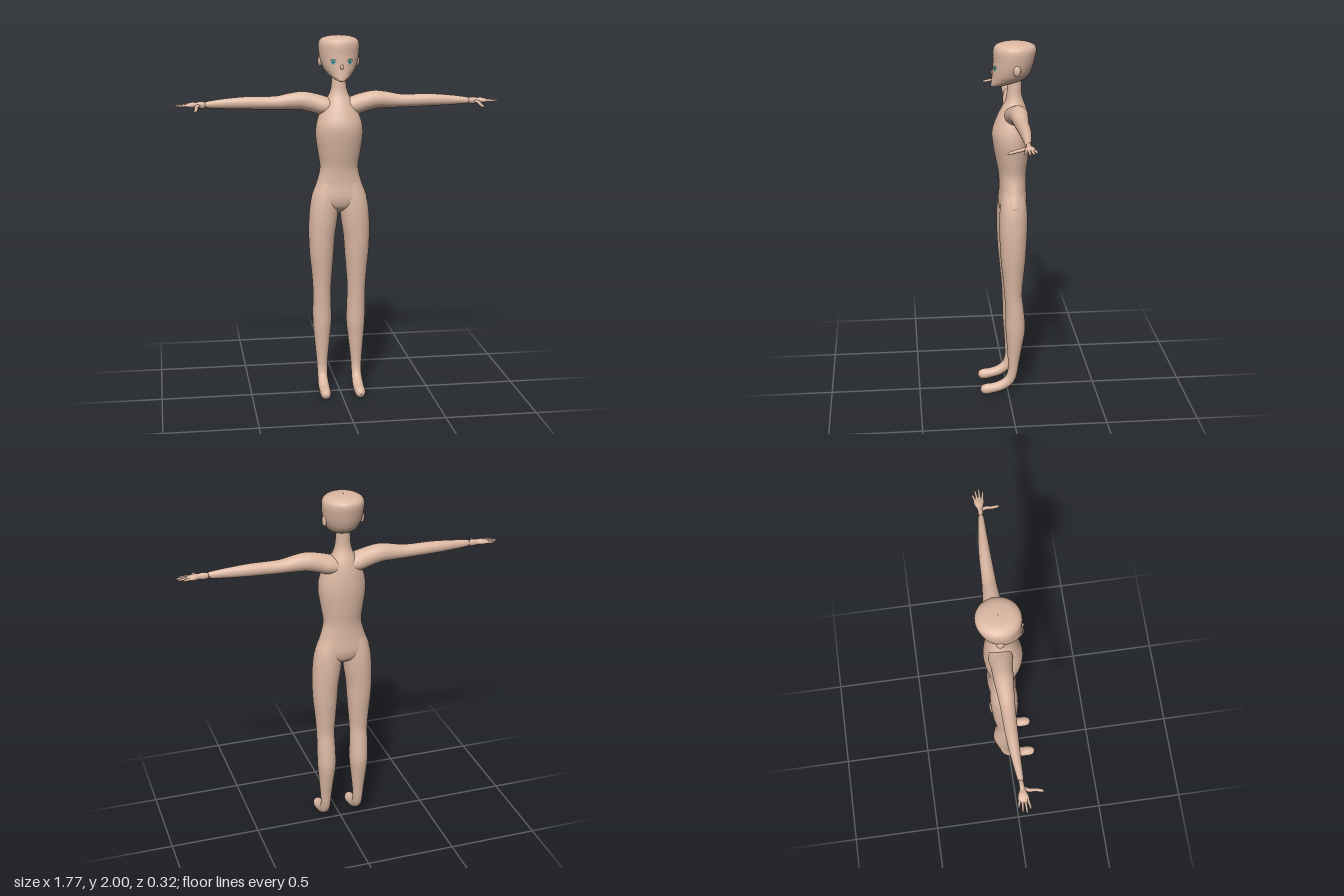
import * as THREE from 'three';

const X = new THREE.Vector3(1, 0, 0);
const Y = new THREE.Vector3(0, 1, 0);
const Z = new THREE.Vector3(0, 0, 1);

const skin = new THREE.MeshStandardMaterial({ color: 0xdcb8a3 });
skin.name = 'skin';
const iris = new THREE.MeshStandardMaterial({ color: 0x46a0a4 });
iris.name = 'iris teal';
const lash = new THREE.MeshStandardMaterial({ color: 0x38484a });
lash.name = 'lash dark';

// Smooth skin through elliptical rings: rows of [cx, cy, cz, radius along side, radius across]
function loft(rows, side, fixedAxis = null, sides = 28, perRow = 5) {
  const path = new THREE.CatmullRomCurve3(rows.map(r => new THREE.Vector3(r[0], r[1], r[2])), false, 'catmullrom', 0.5);
  const size = new THREE.CatmullRomCurve3(rows.map(r => new THREE.Vector3(r[3], r[4], 0)), false, 'catmullrom', 0.5);
  const steps = (rows.length - 1) * perRow;
  const pos = [], index = [];
  for (let i = 0; i <= steps; i++) {
    const t = i / steps;
    const c = path.getPoint(t), s = size.getPoint(t);
    const axis = fixedAxis || path.getTangent(t);
    const depth = new THREE.Vector3().crossVectors(axis, side).normalize();
    const u = new THREE.Vector3().crossVectors(depth, axis).normalize();
    for (let j = 0; j < sides; j++) {
      const a = (j / sides) * Math.PI * 2;
      const p = c.clone()
        .addScaledVector(u, Math.max(s.x, 0.0005) * Math.cos(a))
        .addScaledVector(depth, Math.max(s.y, 0.0005) * Math.sin(a));
      pos.push(p.x, p.y, p.z);
      if (i < steps) {
        const k = (j + 1) % sides, b = i * sides, n = b + sides;
        index.push(b + j, b + k, n + k, b + j, n + k, n + j);
      }
    }
  }
  const g = new THREE.BufferGeometry();
  g.setAttribute('position', new THREE.Float32BufferAttribute(pos, 3));
  g.setIndex(index);
  g.computeVertexNormals();
  return g;
}

// Upright section [y, half width, front z, back z] to a loft row
const upright = ([y, w, f, b]) => [0, y, (f + b) / 2, w, (f - b) / 2];

const torsoRows = [
  [1.03, 0.002, -0.025, -0.03], [1.045, 0.06, 0.005, -0.065], [1.07, 0.12, 0.034, -0.095],
  [1.11, 0.153, 0.046, -0.108], [1.15, 0.144, 0.046, -0.109], [1.2, 0.125, 0.042, -0.106],
  [1.28, 0.106, 0.045, -0.106], [1.36, 0.116, 0.06, -0.115], [1.45, 0.129, 0.076, -0.123],
  [1.52, 0.126, 0.079, -0.124], [1.59, 0.104, 0.056, -0.118], [1.64, 0.078, 0.032, -0.107],
  [1.68, 0.055, 0.01, -0.092], [1.72, 0.043, 0, -0.081], [1.78, 0.038, -0.005, -0.08], [1.84, 0.036, -0.01, -0.08],
].map(upright);

const headRows = [
  [1.759, 0.002, 0.07, 0.05], [1.764, 0.02, 0.084, 0.025], [1.78, 0.047, 0.084, -0.03],
  [1.8, 0.069, 0.081, -0.088], [1.825, 0.087, 0.078, -0.117], [1.86, 0.1, 0.075, -0.135],
  [1.9, 0.108, 0.073, -0.147], [1.95, 0.111, 0.073, -0.157], [1.977, 0.101, 0.063, -0.151],
  [1.993, 0.073, 0.035, -0.123], [1.999, 0.035, -0.008, -0.08], [2.0, 0.001, -0.043, -0.045],
].map(upright);

const legRows = [
  [0.06, 1.2, -0.03, 0.055, 0.06], [0.078, 1.1, -0.03, 0.077, 0.074], [0.089, 1.0, -0.028, 0.079, 0.077],
  [0.097, 0.9, -0.027, 0.073, 0.073], [0.098, 0.8, -0.027, 0.067, 0.067], [0.097, 0.7, -0.027, 0.058, 0.057],
  [0.097, 0.6, -0.028, 0.051, 0.049], [0.096, 0.5, -0.036, 0.052, 0.052], [0.095, 0.4, -0.04, 0.052, 0.055],
  [0.096, 0.3, -0.036, 0.043, 0.044], [0.097, 0.2, -0.03, 0.033, 0.032], [0.097, 0.14, -0.025, 0.029, 0.028],
  [0.097, 0.088, -0.008, 0.028, 0.029], [0.097, 0.055, 0.032, 0.03, 0.029], [0.097, 0.039, 0.08, 0.03, 0.028],
  [0.097, 0.032, 0.125, 0.029, 0.03], [0.097, 0.031, 0.15, 0.02, 0.021], [0.097, 0.031, 0.16, 0.001, 0.001],
];

const armRows = [
  [0.02, 1.61, -0.043, 0.06, 0.045], [0.08, 1.62, -0.043, 0.062, 0.052], [0.13, 1.635, -0.044, 0.055, 0.052],
  [0.2, 1.65, -0.045, 0.05, 0.05], [0.27, 1.647, -0.045, 0.043, 0.044], [0.35, 1.641, -0.045, 0.037, 0.036],
  [0.5, 1.643, -0.045, 0.031, 0.034], [0.62, 1.641, -0.041, 0.023, 0.027], [0.705, 1.638, -0.036, 0.016, 0.019],
  [0.718, 1.637, -0.036, 0.012, 0.014], [0.721, 1.637, -0.036, 0.001, 0.001],
];

const handRows = [
  [0.712, 1.637, -0.036, 0.008, 0.009], [0.728, 1.637, -0.035, 0.012, 0.017], [0.75, 1.637, -0.034, 0.013, 0.019],
  [0.77, 1.637, -0.034, 0.016, 0.015], [0.79, 1.637, -0.035, 0.024, 0.016], [0.812, 1.636, -0.035, 0.028, 0.012],
  [0.83, 1.635, -0.035, 0.022, 0.007], [0.836, 1.635, -0.035, 0.001, 0.001],
];

const thumbRows = [
  [0.752, 1.635, -0.036, 0.009, 0.01], [0.77, 1.63, -0.005, 0.009, 0.01], [0.772, 1.622, 0.03, 0.008, 0.009],
  [0.779, 1.615, 0.06, 0.007, 0.008], [0.783, 1.612, 0.071, 0.001, 0.001],
];

// Fingers: [root z, tip z, tip x]
const fingers = [[-0.053, -0.063, 0.855], [-0.041, -0.046, 0.878], [-0.028, -0.027, 0.885], [-0.016, -0.007, 0.868]];
const fingerRows = ([z0, z1, x1]) => [
  [0.805, 1.636, z0, 0.007, 0.007], [(0.805 + x1) / 2, 1.637, (z0 + z1) / 2, 0.0065, 0.007],
  [x1 - 0.008, 1.635, z1, 0.005, 0.005], [x1, 1.634, z1, 0.001, 0.001],
];

// Height of the face surface in z at a given x and y
function faceZ(x, y) {
  const i = headRows.findIndex(r => r[1] > y);
  const a = headRows[i - 1], b = headRows[i];
  const t = (y - a[1]) / (b[1] - a[1]);
  const mix = k => a[k] + (b[k] - a[k]) * t;
  return mix(2) + mix(4) * Math.sqrt(Math.max(0, 1 - (x / mix(3)) ** 2));
}

// Flat shape laid on the face
function onFace(geometry, x, y, lift) {
  geometry.translate(x, y, 0);
  const p = geometry.attributes.position;
  for (let i = 0; i < p.count; i++) p.setZ(i, faceZ(p.getX(i), p.getY(i)) + lift);
  geometry.computeVertexNormals();
  return geometry;
}

export function createModel() {
  const model = new THREE.Group();
  model.name = 'figure';
  const add = (name, geometry, material = skin) => {
    const mesh = new THREE.Mesh(geometry, material);
    mesh.name = name;
    model.add(mesh);
    return mesh;
  };

  add('torsoAndNeck', loft(torsoRows, X, Y, 40));
  add('head', loft(headRows, X, Y, 40));
  const nose = add('nose', new THREE.SphereGeometry(1, 16, 12));
  nose.scale.set(0.009, 0.014, 0.007);
  nose.position.set(0, 1.838, 0.076);

  for (const s of [1, -1]) {
    const label = s > 0 ? 'left' : 'right';
    const mirror = rows => rows.map(r => [r[0] * s, ...r.slice(1)]);

    // Limbs
    add(label + 'LegAndFoot', loft(mirror(legRows), X));
    add(label + 'Arm', loft(mirror(armRows), Z));
    add(label + 'Hand', loft(mirror(handRows), Z, null, 18));
    add(label + 'Thumb', loft(mirror(thumbRows), Y, null, 12));
    fingers.forEach((f, i) => add(label + 'Finger' + (i + 1), loft(mirror(fingerRows(f)), Z, null, 10)));

    // Ear
    const ear = add(label + 'Ear', new THREE.SphereGeometry(1, 20, 14));
    ear.scale.set(0.012, 0.029, 0.02);
    ear.position.set(s * 0.102, 1.862, -0.045);

    // Eye: iris, pupil and upper lash
    add(label + 'Iris', onFace(new THREE.CircleGeometry(0.012, 20).scale(0.9, 1.15, 1), s * 0.045, 1.865, 0.003), iris);
    add(label + 'Pupil', onFace(new THREE.CircleGeometry(0.005, 14), s * 0.045, 1.865, 0.005), lash);
    add(label + 'Lash', onFace(new THREE.RingGeometry(0.015, 0.018, 20, 1, 0.35, Math.PI - 0.7), s * 0.046, 1.864, 0.004), lash);
  }
  return model;
}
